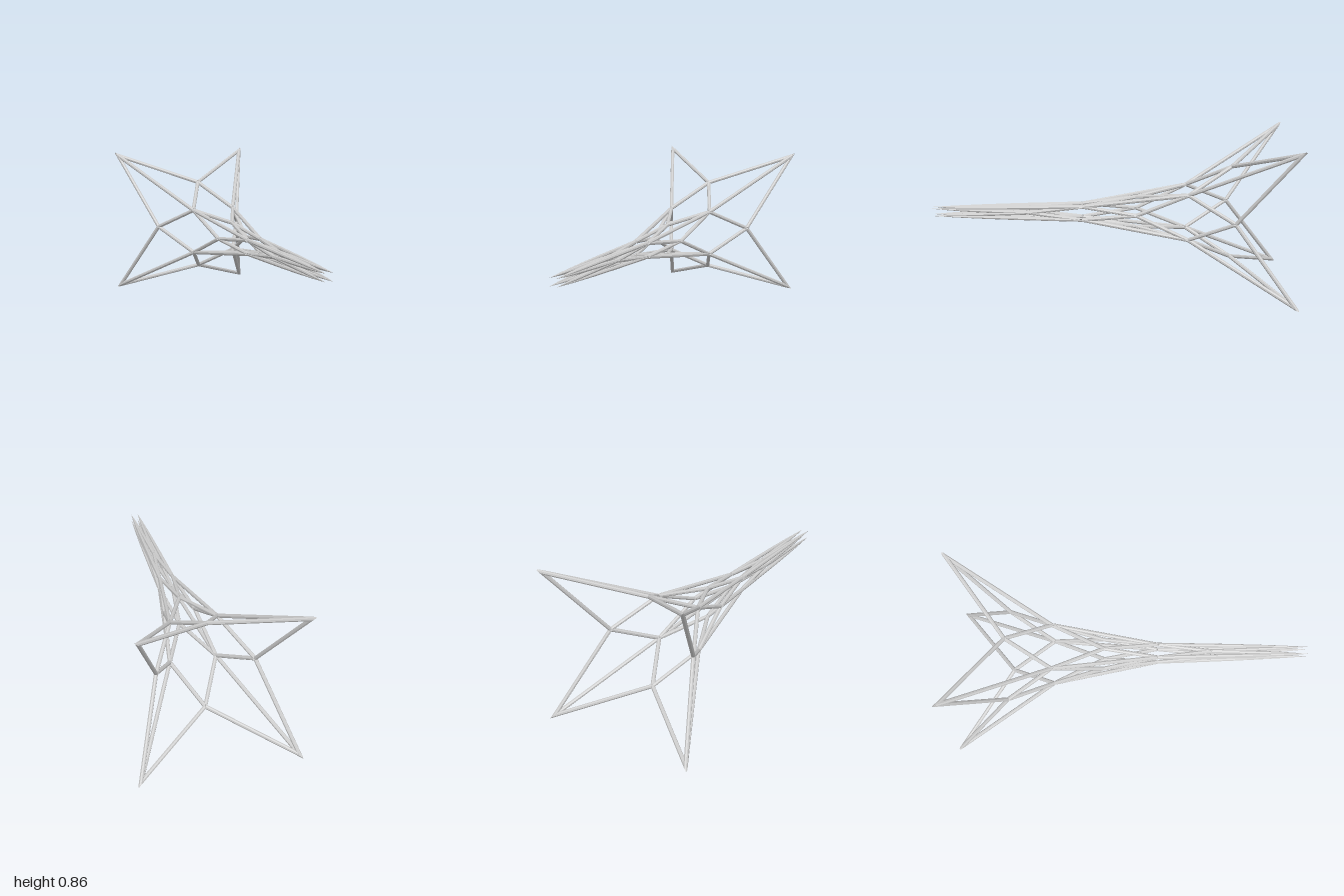
import * as THREE from 'three';

const CY = 0.432, R = 0.011, SIDES = 8;

export function createModel() {
  const group = new THREE.Group();
  const steel = new THREE.MeshStandardMaterial({ color: 0xcccccc, flatShading: true });
  steel.name = 'light grey steel';

  // Rings of four nodes, alternately on the diagonals and on the axes: [radius, z]
  const rings = [
    [0.414 * Math.SQRT2, -0.978], [0.26, -0.67], [0.127 * Math.SQRT2, -0.425], [0.086, -0.14],
    [0.038 * Math.SQRT2, 0.16], [0.026, 0.46], [0.021 * Math.SQRT2, 1],
  ].map(([radius, z], i) => [0, 1, 2, 3].map((k) => {
    const a = (k + (i % 2 ? 0 : 0.5)) * Math.PI / 2;
    return { pos: new THREE.Vector3(Math.cos(a) * radius, CY + Math.sin(a) * radius, z), dirs: [], tip: i === 6 };
  }));

  // Struts between neighbouring rings, plus long ribs along the diagonals
  const struts = [];
  const link = (a, b, name) => {
    const dir = b.pos.clone().sub(a.pos).normalize();
    a.dirs.push(dir);
    b.dirs.push(dir.clone().negate());
    struts.push({ a, b, dir, name });
  };
  for (let i = 0; i < 6; i++) {
    for (let k = 0; k < 4; k++) {
      const next = rings[i + 1];
      link(rings[i][k], next[k], 'latticeStrut');
      link(rings[i][k], next[(k + (i % 2 ? 3 : 1)) % 4], 'latticeStrut');
      if (i % 2 === 0) link(rings[i][k], rings[i + 2][k], 'diagonalRib');
    }
  }

  // Distance along a strut at which an offset point meets the mitre with its neighbours
  const mitre = (v, dir, node) => {
    let s = -Infinity;
    for (const d of node.dirs) {
      const c = d.dot(dir);
      if (c < 0.9999) s = Math.max(s, v.dot(d) / (1 - c));
    }
    return THREE.MathUtils.clamp(s, -0.05, 0.05);
  };

  const up = new THREE.Vector3(0, 1, 0);
  for (const { a, b, dir, name } of struts) {
    const length = a.pos.distanceTo(b.pos);
    const rows = b.tip ? 6 : 1;
    const geo = new THREE.CylinderGeometry(R, R, 1, SIDES, rows);
    const turn = new THREE.Quaternion().setFromUnitVectors(up, dir);
    const p = geo.attributes.position;
    const v = new THREE.Vector3();
    for (let i = 0; i < p.count; i++) {
      const t = p.getY(i) + 0.5;
      // Front tips narrow to long points
      const scale = b.tip ? Math.max(0.02, 1 - Math.pow(t, 3.5)) : 1;
      v.set(p.getX(i) * scale, 0, p.getZ(i) * scale).applyQuaternion(turn);
      let along = t * length;
      if (t < 0.01) along += mitre(v, dir, a);
      else if (t > 0.99 && !b.tip) along -= mitre(v, dir.clone().negate(), b);
      v.addScaledVector(dir, along).add(a.pos);
      p.setXYZ(i, v.x, v.y, v.z);
    }
    geo.computeVertexNormals();
    const mesh = new THREE.Mesh(geo, steel);
    mesh.name = name;
    group.add(mesh);
  }
  return group;
}
